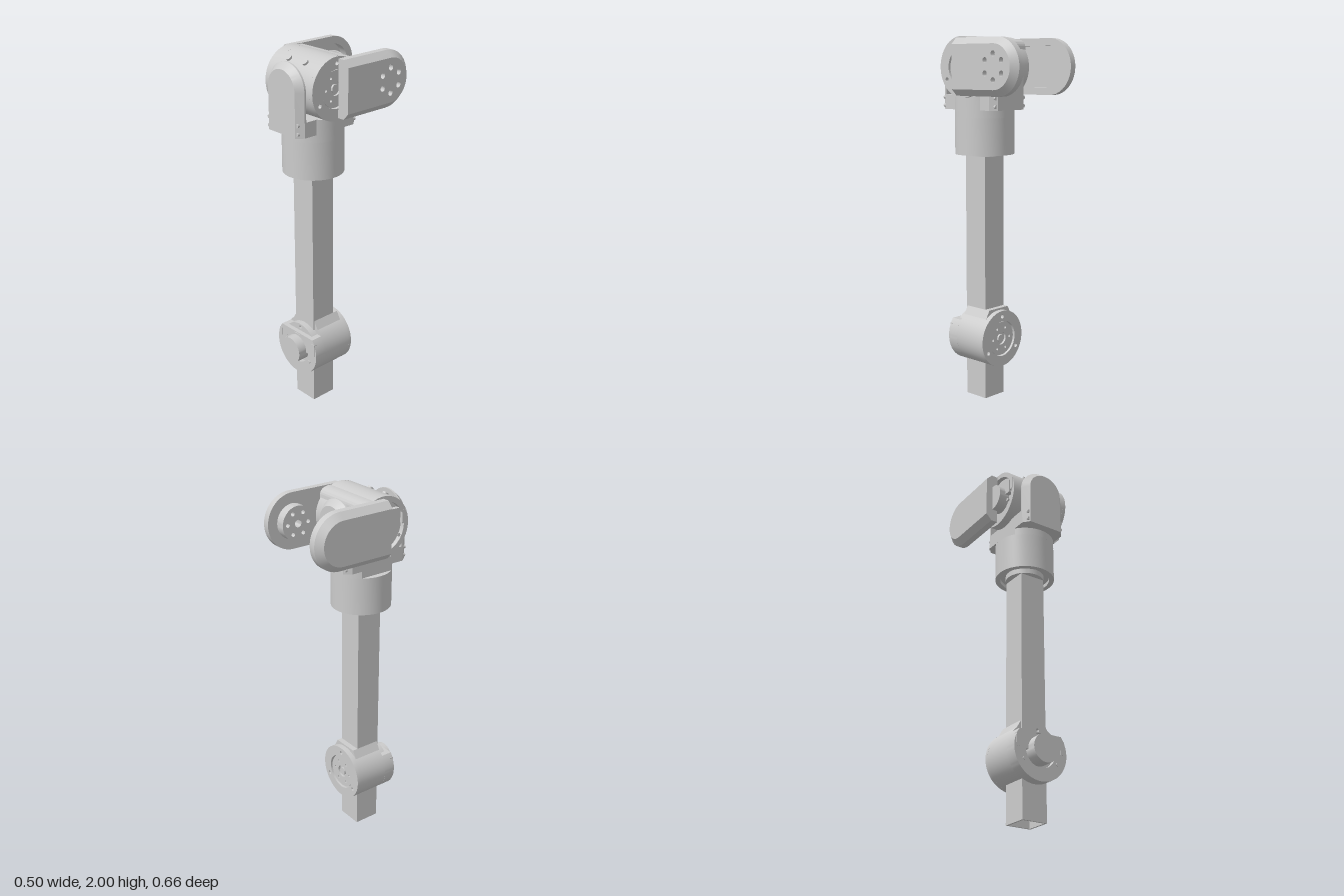
import * as THREE from 'three';
import { toCreasedNormals } from 'three/addons/utils/BufferGeometryUtils.js';

const grey = new THREE.MeshStandardMaterial({ color: 0xcccccc });
const thin = new THREE.MeshStandardMaterial({ color: 0xcccccc, side: THREE.DoubleSide });

function add(parent, name, geo, x = 0, y = 0, z = 0, mat = grey) {
  const m = new THREE.Mesh(toCreasedNormals(geo, 0.6), mat);
  m.name = name;
  m.position.set(x, y, z);
  parent.add(m);
  return m;
}

function group(parent, name, x, y, z) {
  const g = new THREE.Group();
  g.name = name;
  g.position.set(x, y, z);
  parent.add(g);
  return g;
}

const extrude = (shape, depth) =>
  new THREE.ExtrudeGeometry(shape, { depth, bevelEnabled: false, curveSegments: 32 });
const box = (w, h, d) => new THREE.BoxGeometry(w, h, d);
const discZ = (r, len) => new THREE.CylinderGeometry(r, r, len, 48).rotateX(Math.PI / 2);

function circle(r, x = 0, y = 0, Type = THREE.Path) {
  return new Type().absarc(x, y, r, 0, Math.PI * 2, false);
}

// Points evenly spaced on a circle
function polar(n, r, start) {
  return Array.from({ length: n }, (_, i) => {
    const a = start + (i / n) * Math.PI * 2;
    return [Math.cos(a) * r, Math.sin(a) * r];
  });
}

// Flat disc with holes, extruded along z
function plate(r, holes, depth) {
  const s = circle(r, 0, 0, THREE.Shape);
  for (const [x, y, hr] of holes) s.holes.push(circle(hr, x, y));
  return extrude(s, depth);
}

// Arched cover: rings are [radius, depth, base height], outer face may have holes
function archCover(parent, name, length, rings, holes = []) {
  const g = group(parent, name, 0, 0, 0);
  const N = 28;
  const outline = ([r, , base = 0]) => {
    const p = [new THREE.Vector2(r, base)];
    for (let i = 0; i <= N; i++) {
      const a = (i / N) * Math.PI;
      p.push(new THREE.Vector2(r * Math.cos(a), length + r * Math.sin(a)));
    }
    p.push(new THREE.Vector2(-r, base));
    return p;
  };
  const pos = [], idx = [], n = N + 3;
  rings.forEach((ring, k) => {
    for (const p of outline(ring)) pos.push(p.x, p.y, ring[1]);
    if (k === 0) return;
    for (let j = 0; j < n; j++) {
      const a = (k - 1) * n + j, b = (k - 1) * n + ((j + 1) % n);
      idx.push(a, b, b + n, a, b + n, a + n);
    }
  });
  const geo = new THREE.BufferGeometry();
  geo.setAttribute('position', new THREE.Float32BufferAttribute(pos, 3));
  geo.setIndex(idx);
  add(g, name + 'Side', geo, 0, 0, 0, thin);
  const first = rings[0], last = rings[rings.length - 1];
  add(g, name + 'Inside', new THREE.ShapeGeometry(new THREE.Shape(outline(first))), 0, 0, first[1], thin);
  const face = new THREE.Shape(outline(last));
  for (const [x, y, r] of holes) {
    face.holes.push(circle(r, x, y));
    const depth = 0.03;
    add(g, 'screwHole', new THREE.CylinderGeometry(r, r, depth, 20, 1, true).rotateX(Math.PI / 2),
      x, y, last[1] - depth / 2, thin);
    add(g, 'screwHoleFloor', new THREE.CircleGeometry(r, 20), x, y, last[1] - depth);
  }
  add(g, name + 'Face', new THREE.ShapeGeometry(face), 0, 0, last[1]);
  return g;
}

// Motor joint along +z: bolted flange at z = 0, shaft boss beyond the far end
function joint(parent, name, r, length, boss, clip) {
  const g = group(parent, name, 0, 0, 0);
  const bolts = polar(3, r * 0.8, Math.PI / 2).map(([x, y]) => [x, y, 0.011]);
  add(g, 'boltFlange', plate(r, [[0, 0, 0.1], ...bolts], 0.02));
  const inner = polar(6, 0.065, 0).map(([x, y]) => [x, y, 0.007]);
  add(g, 'outputDisc', plate(0.094, [[0, 0, 0.035], ...inner], 0.014), 0, 0, 0.008);
  add(g, 'shaftEnd', discZ(0.022, 0.014), 0, 0, 0.016);
  const rear = 0.065;
  add(g, 'housing', discZ(r, length - rear - 0.02), 0, 0, (length - rear + 0.02) / 2);
  // rear rim, cut flat at the top when clipped
  const a = clip ? Math.asin(0.095 / r) : Math.PI / 2;
  const rim = new THREE.Shape().absarc(0, 0, r, Math.PI - a, Math.PI * 2 + a, false);
  rim.closePath();
  const ri = clip ? 0.09 : 0.135;
  rim.holes.push(circle(ri));
  add(g, 'rearRim', extrude(rim, rear), 0, 0, length - rear);
  if (clip) add(g, 'rearDisc', plate(0.135, [[0, 0.115, 0.009]], 0.04), 0, 0, length - rear);
  add(g, 'rearFloor', discZ(ri, 0.04), 0, 0, length - 0.045);
  add(g, 'rearCollar', box(0.22, 0.09, 0.025), 0, 0.04, length - 0.013);
  add(g, 'shaftBoss', discZ(0.075, boss + 0.04), 0, 0, length + (boss - 0.04) / 2);
  for (const s of [-1, 1]) {
    add(g, 'sideLug', box(0.022, 0.07, 0.02), s * 0.133, 0.035, length - 0.008);
    add(g, 'rearScrew', discZ(0.009, 0.01), s * 0.1, -0.055, length);
  }
  return g;
}

export function createModel() {
  const root = new THREE.Group();
  root.name = 'roboticArmLink';

  // Hollow square tube
  const sq = (h, T) => new T().moveTo(-h, -h).lineTo(h, -h).lineTo(h, h).lineTo(-h, h).closePath();
  const section = sq(0.073, THREE.Shape);
  section.holes.push(sq(0.063, THREE.Path));
  add(root, 'squareTube', extrude(section, 1.38).rotateX(-Math.PI / 2), 0, 0, 0.124);

  // Lower joint and the saddle that clamps the tube
  joint(root, 'lowerJoint', 0.158, 0.265, 0.05, true).position.set(0, 0.345, -0.01);
  const saddle = new THREE.Shape().moveTo(-0.115, 0.44).lineTo(0.115, 0.44).lineTo(0.073, 0.513).lineTo(-0.073, 0.513);
  add(root, 'tubeSaddle', extrude(saddle, 0.17), 0, 0, 0.02);

  // Round collar with a grooved underside
  const profile = [[0, 1.36], [0.105, 1.36], [0.105, 1.39], [0.135, 1.39], [0.135, 1.37],
    [0.162, 1.37], [0.162, 1.575], [0, 1.575]].map(([x, y]) => new THREE.Vector2(x, y));
  add(root, 'collar', new THREE.LatheGeometry(profile, 64), 0, 0, 0.123);
  const cut = Math.acos(-0.13 / 0.162);
  const neck = new THREE.Shape().absarc(0, 0, 0.162, -cut, cut, false);
  neck.closePath();
  add(root, 'collarNeck', extrude(neck, 0.12).rotateX(-Math.PI / 2), 0, 1.57, 0.123);

  // Head joint lying across the top
  const head = joint(root, 'headJoint', 0.162, 0.352, 0.035, false);
  head.position.set(0.175, 1.838, 0.121);
  head.rotation.y = -Math.PI / 2;
  for (const x of [-0.061, 0.061]) {
    const screw = add(root, 'headScrew', new THREE.CylinderGeometry(0.016, 0.016, 0.02, 24), x, 1.965, 0.222);
    screw.rotation.x = Math.atan2(0.101, 0.127);
  }

  // Front and back covers with their foot blocks
  const coverRings = [[0.131, 0], [0.131, 0.01], [0.1, 0.046]];
  for (const s of [1, -1]) {
    const cover = archCover(root, s > 0 ? 'frontCover' : 'backCover', 0.229, coverRings);
    cover.position.set(0, 1.612, s > 0 ? 0.284 : -0.026);
    cover.rotation.y = s > 0 ? 0 : Math.PI;
    add(root, 'coverFoot', box(0.262, 0.08, 0.08), 0, 1.652, s > 0 ? 0.25 : 0.01);
    for (const x of [-0.106, 0.106]) for (const y of [0.02, 0.065])
      add(cover, 'coverScrew', discZ(0.01, 0.03), x, y, 0.026);
  }

  // Fork arms, chamfered on the outside
  const X = new THREE.Vector3(1, 0, 0), Y = new THREE.Vector3(0, 1, 0), Z = new THREE.Vector3(0, 0, 1);
  const neg = (v) => v.clone().negate();
  const L = 0.297;
  const armHoles = polar(6, 0.066, Math.PI / 2).map(([x, y]) => [y, L + x, 0.015]);
  const outer = [[0.15, 0], [0.15, 0.037], [0.116, 0.07]];
  const leftArm = archCover(root, 'leftArm', L, outer, armHoles);
  leftArm.quaternion.setFromRotationMatrix(new THREE.Matrix4().makeBasis(neg(Y), neg(Z), X));
  leftArm.position.set(0.181, 1.84, 0.117);
  const rightArm = archCover(root, 'rightArm', L, [[0.11, 0.045, 0.02], [0.11, 0, 0.02], ...outer]);
  rightArm.quaternion.setFromRotationMatrix(new THREE.Matrix4().makeBasis(Y, neg(Z), neg(X)));
  rightArm.position.set(-0.181, 1.84, 0.117);

  // Pivot disc inside the left arm
  const pivot = plate(0.093, [[0, 0, 0.02], ...polar(6, 0.062, 0).map(([x, y]) => [x, y, 0.011])], 0.055);
  add(root, 'pivotDisc', pivot.rotateY(Math.PI / 2), 0.13, 1.84, -0.182);

  // Bridge joining the arms, rounded along its back top edge
  const bridge = new THREE.Shape().moveTo(-0.06, 1.88).lineTo(0.01, 1.88).lineTo(0.01, 1.945)
    .quadraticCurveTo(0.005, 1.985, -0.05, 1.987).lineTo(-0.06, 1.987);
  add(root, 'armBridge', extrude(bridge, 0.364).rotateY(Math.PI / 2), -0.182, 0, 0);

  return root;
}
